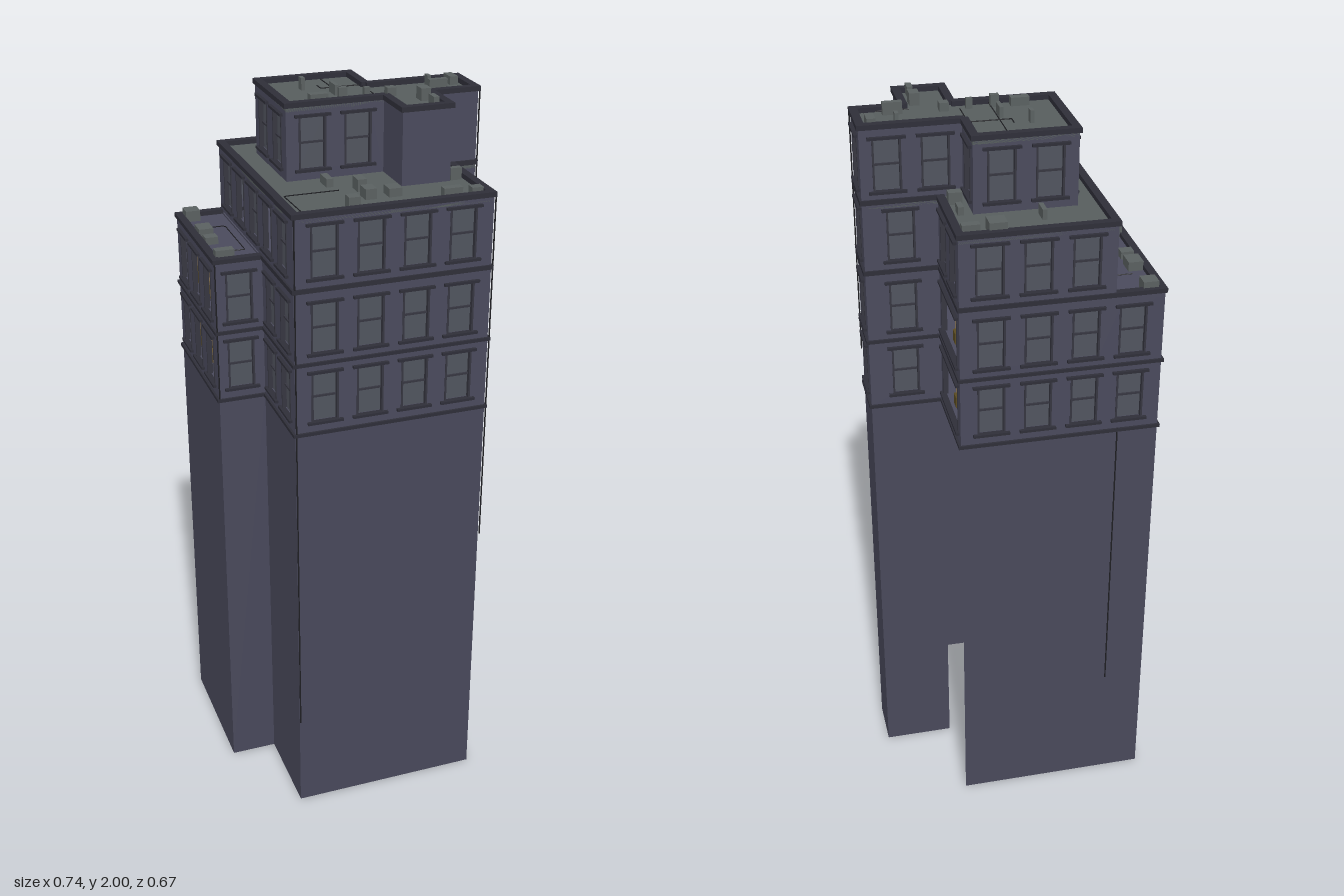
import * as THREE from 'three';

const mat = (color, side = THREE.FrontSide) => new THREE.MeshStandardMaterial({ color, side });
const M = {
  wall: mat(0x4a4a5c), shaft: mat(0x48485a, THREE.DoubleSide), trim: mat(0x2e2e38),
  roof: mat(0x565d5d), glass: mat(0x50545e, THREE.DoubleSide), frame: mat(0x363640),
  room: mat(0xa08868, THREE.DoubleSide), furniture: mat(0x5a4a20), gear: mat(0x5a6060), pipe: mat(0x202024),
};

function add(parent, name, geo, material, x = 0, y = 0, z = 0) {
  const m = new THREE.Mesh(geo, material);
  m.name = name;
  m.position.set(x, y, z);
  parent.add(m);
  return m;
}
const box = (p, name, m, w, h, d, x, y, z) => add(p, name, new THREE.BoxGeometry(w, h, d), m, x, y, z);

// Group whose local x runs from a to b and whose local z points outward
function edgeGroup(parent, name, a, b) {
  const g = new THREE.Group();
  const dx = b[0] - a[0], dz = b[1] - a[1];
  g.name = name;
  g.position.set(a[0], 0, a[1]);
  g.rotation.y = Math.atan2(-dz, dx);
  parent.add(g);
  return { g, len: Math.hypot(dx, dz) };
}

// Flat slab filling a plan outline, top at y
function slab(parent, name, pts, y, t, material) {
  const s = new THREE.Shape(pts.map(([x, z]) => new THREE.Vector2(x, -z)));
  const geo = new THREE.ExtrudeGeometry(s, { depth: t, bevelEnabled: false });
  add(parent, name, geo.rotateX(-Math.PI / 2), material, 0, y - t, 0);
}

// Projecting band or parapet along every edge of an outline
function band(parent, name, pts, y, h, out) {
  pts.forEach((a, i) => {
    const { g, len } = edgeGroup(parent, name, a, pts[(i + 1) % pts.length]);
    box(g, name, M.trim, len + out * 2, h, 0.016 + out, len / 2, y, out / 2 - 0.008);
  });
}

// Window: recessed glass with bars, or an open lit room behind the frame
function window_(g, cx, y, w, h, lit) {
  const win = new THREE.Group();
  win.name = lit ? 'litWindow' : 'window';
  win.position.set(cx, y + h / 2, 0);
  g.add(win);
  if (lit) {
    add(win, 'roomWall', new THREE.PlaneGeometry(w + 0.02, h + 0.02), M.room, 0, 0, -0.035);
    box(win, 'furniture', M.furniture, 0.03, 0.03, 0.015, -w * 0.15, -h / 2 + 0.015, -0.024);
    box(win, 'furniture', M.furniture, 0.012, 0.05, 0.012, w * 0.25, -h / 2 + 0.025, -0.024);
  } else {
    add(win, 'glass', new THREE.PlaneGeometry(w, h), M.glass, 0, 0, -0.01);
    box(win, 'rail', M.frame, w, 0.005, 0.006, 0, 0, -0.008);
  }
  for (const s of [-1, 1]) {
    box(win, 'jamb', M.frame, 0.005, h, 0.014, s * (w / 2 - 0.001), 0, -0.005);
    box(win, 'ledge', M.trim, w + 0.026, 0.007, 0.016, 0, s * (h / 2 + 0.003), 0.001);
  }
}

// One storey: spec per edge is [count, lit, width]
function storey(parent, name, pts, y0, y1, specs) {
  const floor = new THREE.Group();
  floor.name = name;
  parent.add(floor);
  pts.forEach((a, i) => {
    const { g, len } = edgeGroup(floor, 'wall', a, pts[(i + 1) % pts.length]);
    const [n, lit = false, w = 0.07] = specs[i];
    const rect = (C, x, y, ww, hh) => new C([[x, y], [x + ww, y], [x + ww, y + hh], [x, y + hh]]
      .map((p) => new THREE.Vector2(...p)));
    const shape = rect(THREE.Shape, 0, y0, len, y1 - y0);
    const pitch = Math.min(0.122, len / Math.max(n, 1));
    const h = 0.135, wy = y0 + 0.028;
    for (let k = 0; k < n; k++) {
      const cx = len / 2 + (k - (n - 1) / 2) * pitch;
      shape.holes.push(rect(THREE.Path, cx - w / 2, wy, w, h));
      window_(g, cx, wy, w, h, lit === 'mix' ? k % 2 === 1 : lit);
    }
    const geo = new THREE.ExtrudeGeometry(shape, { depth: 0.012, bevelEnabled: false });
    add(g, 'wallPanel', geo, M.wall, 0, 0, -0.012);
  });
}

export function createModel() {
  const model = new THREE.Group();
  model.name = 'towerBlock';

  // Plan outlines, from the front left corner round by the +x side
  const east = [[0.295, 0.328], [0.295, 0.065], [0.36, 0.065], [0.36, -0.072], [0.167, -0.072], [0.167, -0.328]];
  const wide = [[-0.232, 0.328], ...east, [-0.36, -0.328], [-0.36, 0.065], [-0.232, 0.065]];
  const main = [[-0.232, 0.328], ...east, [-0.232, -0.328]];
  const top = [[-0.162, 0.065], [0.1, 0.065], [0.1, 0.195], [0.232, 0.195], [0.232, 0.065],
    [0.36, 0.065], [0.36, -0.072], [0.103, -0.072], [0.103, -0.2], [-0.162, -0.2]];
  const wing = [[-0.36, 0.065], [-0.232, 0.065], [-0.232, -0.328], [-0.36, -0.328]];

  // Plain shaft, open below and on two of the +x sides
  wide.forEach((a, i) => {
    if (i === 1 || i === 5) return;
    const { g, len } = edgeGroup(model, 'shaftSide', a, wide[(i + 1) % wide.length]);
    add(g, 'shaftWall', new THREE.PlaneGeometry(len, 1.19), M.shaft, len / 2, 0.605, 0);
  });

  // Storeys with windows
  const low = [[4], [1, true, 0.2], [0], [1], [1], [1, true, 0.2], [4], [3, true], [1], [2]];
  storey(model, 'firstStorey', wide, 1.2, 1.39, low);
  storey(model, 'secondStorey', wide, 1.39, 1.59, low.map((s, i) => (i === 3 ? [1, true] : s)));
  storey(model, 'thirdStorey', main, 1.59, 1.78, [[4], [2, 'mix'], [0], [1], [1], [2, true], [3], [5, 'mix']]);
  storey(model, 'penthouse', top, 1.78, 1.975,
    [[2], [0], [0], [0], [0], [0], [1], [2], [1, true], [2], [2]].filter((_, i) => i !== 4));

  // Floors, roofs, bands and parapets
  slab(model, 'floor', wide, 1.2, 0.01, M.wall);
  slab(model, 'floor', wide, 1.39, 0.01, M.wall);
  slab(model, 'floor', main, 1.585, 0.01, M.wall);
  slab(model, 'wingRoof', wing, 1.58, 0.01, M.wall);
  slab(model, 'mainRoof', main, 1.772, 0.01, M.roof);
  slab(model, 'topRoof', top, 1.968, 0.01, M.roof);
  band(model, 'floorBand', wide, 1.195, 0.009, 0.006);
  band(model, 'floorBand', wide, 1.39, 0.009, 0.006);
  band(model, 'wingParapet', wide, 1.588, 0.012, 0.005);
  band(model, 'mainParapet', main, 1.78, 0.013, 0.005);
  band(model, 'topParapet', top, 1.975, 0.013, 0.005);

  // Rooftop units: x, z, width, depth
  const units = (y, h, list) => list.forEach(([x, z, w, d], i) =>
    box(model, 'roofUnit', M.gear, w, h - (i % 3) * 0.005, d, x, y + (h - (i % 3) * 0.005) / 2, z));
  units(1.58, 0.03, [[-0.325, -0.3, 0.04, 0.04], [-0.325, -0.165, 0.04, 0.05],
    [-0.325, -0.1, 0.035, 0.03], [-0.325, 0.033, 0.05, 0.025]]);
  units(1.772, 0.032, [[0.065, -0.295, 0.045, 0.045], [0.13, -0.295, 0.045, 0.022], [0.13, -0.165, 0.015, 0.035],
    [0.13, -0.1, 0.035, 0.025], [-0.065, -0.23, 0.012, 0.045], [-0.065, 0.095, 0.018, 0.05],
    [0, 0.16, 0.024, 0.04], [0, 0.225, 0.03, 0.04], [0.065, 0.225, 0.035, 0.04], [-0.065, 0.29, 0.03, 0.03],
    [0.195, 0.293, 0.05, 0.022], [0.26, 0.293, 0.03, 0.025], [0.26, 0.162, 0.03, 0.016]]);
  units(1.968, 0.032, [[-0.065, -0.1, 0.01, 0.022], [0, -0.035, 0.01, 0.045], [-0.065, 0.03, 0.048, 0.022],
    [0, 0.03, 0.022, 0.014], [0.065, 0.03, 0.016, 0.012], [0.13, 0.03, 0.024, 0.024], [0.26, 0.03, 0.05, 0.016],
    [0.26, -0.035, 0.01, 0.02], [0.325, -0.035, 0.022, 0.045], [0.195, 0.095, 0.026, 0.035], [0.195, 0.162, 0.015, 0.035]]);

  // Thin pipes over the roofs
  const pipe = (pts) => {
    const path = new THREE.CurvePath();
    const v = pts.map((p) => new THREE.Vector3(...p));
    for (let i = 1; i < v.length; i++) path.add(new THREE.LineCurve3(v[i - 1], v[i]));
    add(model, 'pipe', new THREE.TubeGeometry(path, 24, 0.0015, 5), M.pipe);
  };
  pipe([[-0.31, 1.583, -0.21], [-0.255, 1.583, -0.21], [-0.255, 1.583, -0.015], [-0.305, 1.583, -0.015]]);
  pipe([[-0.055, 1.776, 0.16], [-0.2, 1.776, 0.16], [-0.195, 1.776, 0.31]]);
  pipe([[0, 1.776, 0.292], [0.18, 1.776, 0.292]]);
  pipe([[0.01, 1.972, -0.17], [0.01, 1.972, 0.055]]);
  pipe([[-0.02, 1.972, -0.11], [-0.02, 1.972, -0.08], [0.09, 1.972, -0.08], [0.09, 1.972, 0.02]]);
  pipe([[0.215, 1.972, 0.045], [0.3, 1.972, 0.045]]);

  // Downpipes on the corners
  for (const [x, z, y0, y1] of [[-0.23, 0.331, 0.28, 1.78], [0.298, 0.331, 0.8, 1.78],
    [0.363, 0.068, 1.3, 1.975], [-0.36, 0.068, 1.2, 1.59], [-0.25, -0.331, 0.35, 1.2]])
    add(model, 'downpipe', new THREE.CylinderGeometry(0.002, 0.002, y1 - y0, 6), M.pipe, x, (y0 + y1) / 2, z);

  // Short vents on the shaft foot line keep the base at ground level
  model.children.filter((c) => c.name === 'shaftSide').forEach((g) => {
    const w = g.children[0];
    w.scale.y = 1.2 / 1.19;
    w.position.y = 0.6;
  });
  return model;
}
